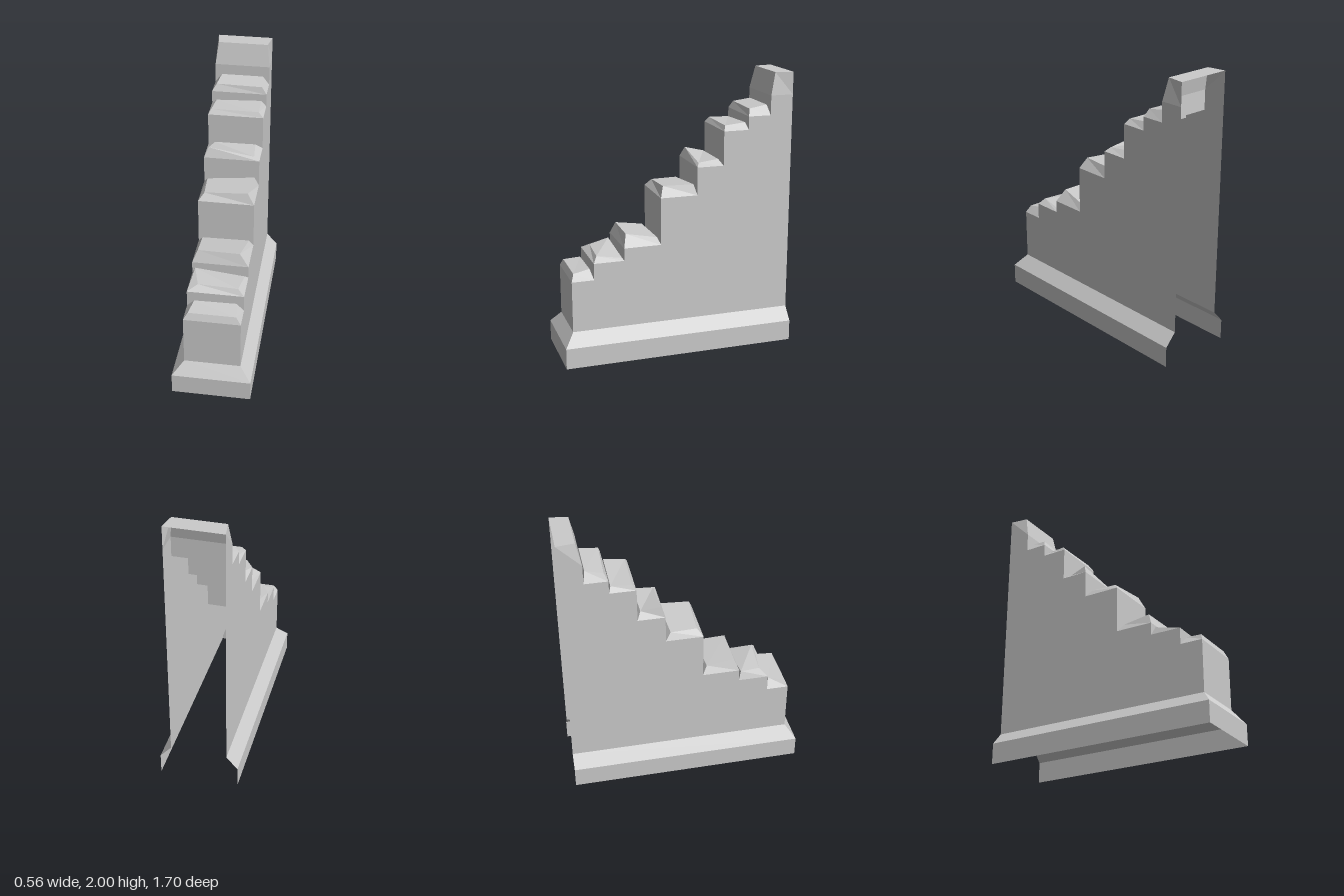
import * as THREE from 'three';

const HALF = 0.2, BACK = -0.85, PLINTH_TOP = 0.24;

// Each step: front z, shoulder height, then the cap's top corners
// [x, y, z] in the order front right, front left, back left, back right (model's own sides).
const STEPS = [
  { z: 0.78, y: 0.61, top: [[-0.17, 0.66, 0.76], [0.165, 0.66, 0.76], [0.15, 0.68, 0.64], [-0.145, 0.675, 0.64]] },
  { z: 0.62, y: 0.73, top: [[-0.13, 0.765, 0.57], [0.155, 0.77, 0.59], [0.175, 0.745, 0.41], [-0.175, 0.79, 0.42]] },
  { z: 0.4, y: 0.82, top: [[-0.165, 0.905, 0.365], [0.135, 0.905, 0.37], [0.17, 0.87, 0.15], [-0.165, 0.875, 0.165]] },
  { z: 0.13, y: 1.16, top: [[-0.16, 1.21, 0.09], [0.15, 1.235, 0.1], [0.17, 1.235, -0.12], [-0.17, 1.21, -0.1]] },
  { z: -0.14, y: 1.36, top: [[-0.17, 1.43, -0.17], [0.16, 1.385, -0.16], [0.15, 1.4, -0.31], [-0.145, 1.4, -0.305]] },
  { z: -0.335, y: 1.605, top: [[-0.18, 1.64, -0.36], [0.165, 1.64, -0.355], [0.165, 1.655, -0.505], [-0.165, 1.64, -0.505]] },
  { z: -0.52, y: 1.7, top: [[-0.17, 1.75, -0.545], [0.165, 1.75, -0.535], [0.155, 1.77, -0.67], [-0.15, 1.77, -0.67]] },
  { z: -0.685, y: 1.84, top: [[-0.18, 2, -0.72], [0.18, 2, -0.72], [0.2, 2, BACK], [-0.2, 2, BACK]] },
];

const material = new THREE.MeshStandardMaterial({ color: 0xcccccc, flatShading: true, side: THREE.DoubleSide });

function addMesh(group, name, geometry) {
  const mesh = new THREE.Mesh(geometry, material);
  mesh.name = name;
  group.add(mesh);
}

// Surface from four-cornered faces, corners anticlockwise seen from outside
function quadGeometry(quads) {
  const positions = quads.flatMap(([a, b, c, d]) => [a, b, d, b, c, d].flat());
  const geometry = new THREE.BufferGeometry();
  geometry.setAttribute('position', new THREE.Float32BufferAttribute(positions, 3));
  geometry.computeVertexNormals();
  return geometry;
}

// Stepped side wall; side is +1 for left, -1 for right
function sideWall(side) {
  const outline = [[BACK, PLINTH_TOP], [STEPS[0].z, PLINTH_TOP]];
  STEPS.forEach((s, i) => {
    const end = i + 1 < STEPS.length ? STEPS[i + 1].z : BACK;
    outline.push([s.z, s.y], [end, s.y]);
  });
  const shape = new THREE.Shape(outline.map(([z, y]) => new THREE.Vector2(-side * z, y)));
  return new THREE.ShapeGeometry(shape).rotateY(side * Math.PI / 2).translate(side * HALF, 0, 0);
}

export function createModel() {
  const group = new THREE.Group();

  // Flared plinth, open underneath and at the back
  const ring = (half, y, front) => [[-half, y, BACK], [-half, y, front], [half, y, front], [half, y, BACK]];
  const rings = [ring(0.28, 0, 0.85), ring(0.28, 0.15, 0.85), ring(HALF, PLINTH_TOP, 0.78)];
  const plinth = [];
  for (let r = 0; r < 2; r++) {
    for (let i = 0; i < 3; i++) {
      plinth.push([rings[r][i], rings[r][i + 1], rings[r + 1][i + 1], rings[r + 1][i]]);
    }
  }
  addMesh(group, 'plinth', quadGeometry(plinth));

  // Side walls
  addMesh(group, 'leftWall', sideWall(1));
  addMesh(group, 'rightWall', sideWall(-1));

  // Risers and uneven bevelled caps
  STEPS.forEach(({ z, y, top }, i) => {
    const last = i === STEPS.length - 1;
    const end = last ? BACK : STEPS[i + 1].z;
    const below = i ? STEPS[i - 1].y : PLINTH_TOP;
    const base = [[-HALF, y, z], [HALF, y, z], [HALF, y, end], [-HALF, y, end]];

    addMesh(group, `riser${i + 1}`, quadGeometry([[[-HALF, below, z], [HALF, below, z], base[1], base[0]]]));

    const faces = [top];
    for (let k = 0; k < 4; k++) {
      if (last && k === 2) continue; // the tall end stays open at the back
      const n = (k + 1) % 4;
      faces.push([base[k], base[n], top[n], top[k]]);
    }
    addMesh(group, `cap${i + 1}`, quadGeometry(faces));
  });

  return group;
}
